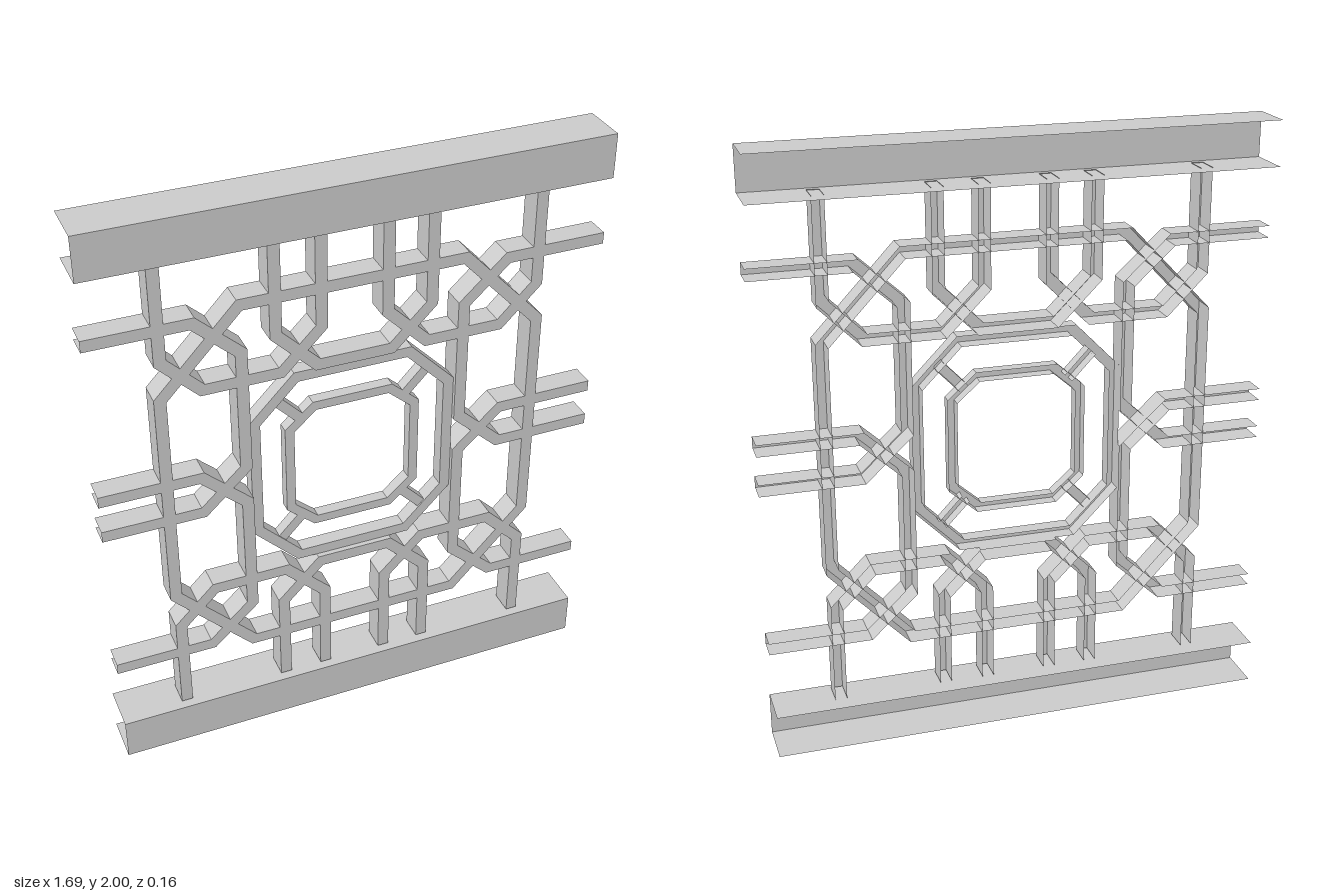
import * as THREE from 'three';

const material = new THREE.MeshStandardMaterial({ color: 0xcccccc, side: THREE.DoubleSide, flatShading: true });

// Sheet channel swept along a path with mitred corners: front face and two side walls, open at the back
function channel(name, path, width, front, back, closed = false) {
  const pts = path.map(([x, y]) => new THREE.Vector2(x, y));
  const n = pts.length;
  const position = [], index = [];
  const normalOf = (a, b) => {
    const d = b.clone().sub(a).normalize();
    return new THREE.Vector2(-d.y, d.x);
  };
  pts.forEach((p, i) => {
    const prev = pts[(i + n - 1) % n], next = pts[(i + 1) % n];
    const n1 = !closed && i === 0 ? normalOf(p, next) : normalOf(prev, p);
    const n2 = !closed && i === n - 1 ? n1 : normalOf(p, next);
    const miter = n1.clone().add(n2).multiplyScalar(width / 2 / (1 + n1.dot(n2)));
    for (const [side, z] of [[1, back], [1, front], [-1, front], [-1, back]]) {
      position.push(p.x + side * miter.x, p.y + side * miter.y, z);
    }
  });
  const segments = closed ? n : n - 1;
  for (let i = 0; i < segments; i++) {
    for (let j = 0; j < 3; j++) {
      const a = i * 4 + j, d = ((i + 1) % n) * 4 + j;
      index.push(a, a + 1, d + 1, a, d + 1, d);
    }
  }
  const indexed = new THREE.BufferGeometry();
  indexed.setAttribute('position', new THREE.Float32BufferAttribute(position, 3));
  indexed.setIndex(index);
  const geometry = indexed.toNonIndexed();
  geometry.computeVertexNormals();
  const mesh = new THREE.Mesh(geometry, material);
  mesh.name = name;
  return mesh;
}

// Eight-sided ring; (w, h) half size, (cx, cy) ends of the straight sides
const octagon = (w, h, cx, cy) => [
  [-w, -cy], [-w, cy], [-cx, h], [cx, h], [w, cy], [w, -cy], [cx, -h], [-cx, -h],
];

const flip = (path, sx, sy) => path.map(([x, y]) => [x * sx, y * sy]);

export function createModel() {
  const model = new THREE.Group();
  model.name = 'latticePanel';

  // Top and bottom rails
  for (const [name, y] of [['topRail', 1.9265], ['bottomRail', 0.0745]]) {
    model.add(channel(name, [[-0.843, y], [0.843, y]], 0.147, 0.078, -0.08));
  }

  // Lattice, laid out around its own centre
  const lattice = new THREE.Group();
  lattice.name = 'lattice';
  lattice.position.set(0.003, 1.004, 0);
  model.add(lattice);
  const W = 0.039, FRONT = 0.05, BACK = -0.03;

  // Large outer frame
  lattice.add(channel('outerFrame', octagon(0.626, 0.657, 0.367, 0.383), W, FRONT, BACK, true));

  // Looped bars hanging from the top rail and rising from the bottom rail
  const outerLoop = [[-0.617, 0.851], [-0.617, 0.515], [-0.493, 0.391], [-0.242, 0.391], [-0.109, 0.524], [-0.109, 0.851]];
  const middleLoop = [[-0.256, 0.851], [-0.256, 0.524], [-0.123, 0.391], [0.123, 0.391], [0.256, 0.524], [0.256, 0.851]];
  for (const sy of [1, -1]) {
    const end = sy > 0 ? 'top' : 'bottom';
    lattice.add(channel(end + 'MiddleLoop', flip(middleLoop, 1, sy), W, FRONT, BACK));
    for (const sx of [1, -1]) {
      lattice.add(channel(end + 'OuterLoop', flip(outerLoop, sx, sy), W, FRONT, BACK));
    }
  }

  // Side bars that cross each other at mid height
  const sideLoop = [[-0.845, 0.627], [-0.512, 0.627], [-0.367, 0.493], [-0.367, 0.069], [-0.513, -0.067], [-0.845, -0.067]];
  for (const sx of [1, -1]) {
    for (const sy of [1, -1]) {
      lattice.add(channel(sx > 0 ? 'rightSideLoop' : 'leftSideLoop', flip(sideLoop, sx, sy), W, FRONT, BACK));
    }
  }

  // Shallower centre rings joined by corner spokes
  lattice.add(channel('centreRing', octagon(0.33, 0.352, 0.19, 0.209), 0.035, 0.035, -0.015, true));
  lattice.add(channel('innerRing', octagon(0.214, 0.226, 0.129, 0.151), 0.031, 0.03, -0.01, true));
  for (const sx of [1, -1]) {
    for (const sy of [1, -1]) {
      lattice.add(channel('cornerSpoke', flip([[0.253, 0.273], [0.174, 0.19]], sx, sy), 0.033, 0.03, -0.01));
    }
  }
  return model;
}
